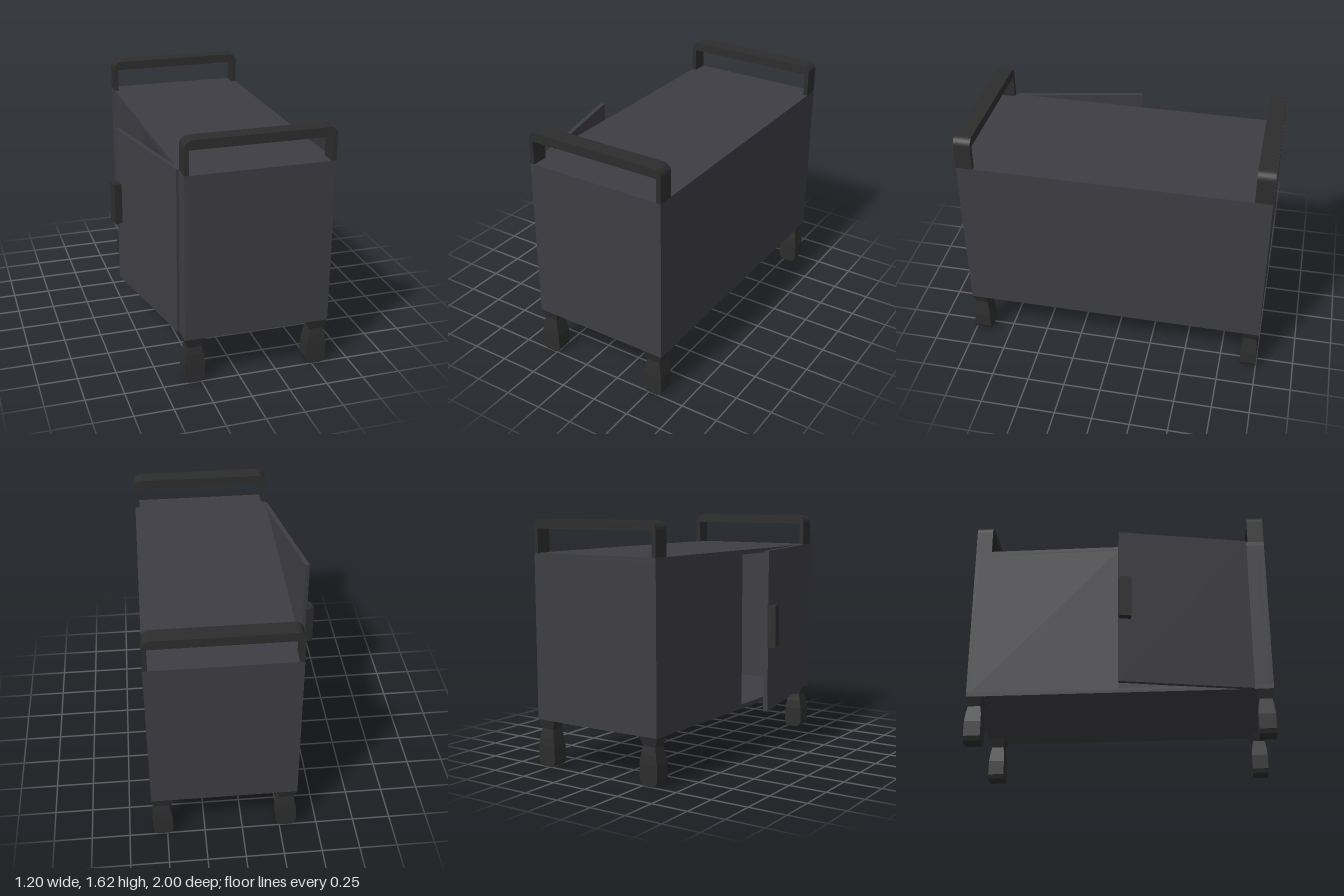
import * as THREE from 'three';

const bodyMat = new THREE.MeshStandardMaterial({ color: 0x3d3d43 });
const trimMat = new THREE.MeshStandardMaterial({ color: 0x2d2d2d, flatShading: true });

// Body limits
const X0 = -0.36, X1 = 0.595, Y0 = 0.31, Y1 = 1.4, T = 0.03;

// Box given by its minimum and maximum corners
function slab(name, [ax, ay, az], [bx, by, bz], mat = bodyMat) {
  const geo = new THREE.BoxGeometry(bx - ax, by - ay, bz - az);
  geo.translate((ax + bx) / 2, (ay + by) / 2, (az + bz) / 2);
  const mesh = new THREE.Mesh(geo, mat);
  mesh.name = name;
  return mesh;
}

// Foot with a pinched neck: rows of [height, half width, half depth] from top to bottom
const footRows = [
  [0.31, 0.068, 0.055], [0.25, 0.046, 0.041], [0.2, 0.055, 0.05], [0.14, 0.066, 0.055],
  [0.04, 0.067, 0.055], [0.012, 0.055, 0.055], [0, 0.035, 0.055],
];
function footGeometry() {
  const n = footRows.length - 1;
  const geo = new THREE.BoxGeometry(2, 1, 2, 1, n, 1);
  const p = geo.attributes.position;
  for (let i = 0; i < p.count; i++) {
    const [y, hx, hz] = footRows[Math.round((0.5 - p.getY(i)) * n)];
    p.setXYZ(i, p.getX(i) * hx, y, p.getZ(i) * hz);
  }
  geo.computeVertexNormals();
  return geo;
}

// Carrying handle: an arch with rounded outer corners and a square inside
function handleGeometry() {
  const top = 1.615, r = 0.055, s = new THREE.Shape();
  s.moveTo(X0, Y1);
  s.lineTo(X0, top - r);
  s.absarc(X0 + r, top - r, r, Math.PI, Math.PI / 2, true);
  s.lineTo(X1 - r, top);
  s.absarc(X1 - r, top - r, r, Math.PI / 2, 0, true);
  s.lineTo(X1, Y1);
  s.lineTo(X1 - T, Y1);
  s.lineTo(X1 - T, 1.555);
  s.lineTo(X0 + T, 1.555);
  s.lineTo(X0 + T, Y1);
  s.closePath();
  const geo = new THREE.ExtrudeGeometry(s, { depth: 0.11, bevelEnabled: false, curveSegments: 5 });
  geo.translate(0, 0, -0.055);
  return geo;
}

export function createModel() {
  const model = new THREE.Group();

  // Hollow cabinet, open on one side between the fixed panel and the post
  const cabinet = new THREE.Group();
  cabinet.name = 'cabinet';
  cabinet.add(
    slab('floor', [X0, Y0, -1], [X1, Y0 + T, 1]),
    slab('top', [X0, Y1 - T, -1], [X1, Y1, 1]),
    slab('leftWall', [X1 - T, Y0 + T, -1], [X1, Y1 - T, 1]),
    slab('frontWall', [X0, Y0 + T, 1 - T], [X1 - T, Y1 - T, 1]),
    slab('backWall', [X0, Y0 + T, -1], [X1 - T, Y1 - T, -1 + T]),
    slab('fixedSidePanel', [X0, Y0 + T, -1 + T], [X0 + T, Y1 - T, 0]),
    slab('hingePost', [X0, Y0 + T, 0.88], [X0 + T, Y1 - T, 1 - T]),
  );
  model.add(cabinet);

  // Door standing ajar, with its pull
  const door = new THREE.Group();
  door.name = 'door';
  door.position.set(X0, 0, 0.875);
  door.rotation.y = 0.205;
  door.add(
    slab('doorPanel', [-0.015, Y0, -0.88], [0.015, Y1, 0]),
    slab('doorPull', [-0.066, 0.75, -0.88], [-0.01, 1.035, -0.802], trimMat),
  );
  model.add(door);

  // Handle and two feet at each end
  const footGeo = footGeometry(), handleGeo = handleGeometry();
  for (const z of [0.945, -0.945]) {
    const handle = new THREE.Mesh(handleGeo, trimMat);
    handle.name = z > 0 ? 'frontHandle' : 'backHandle';
    handle.position.z = z;
    model.add(handle);
    for (const x of [X0 + 0.066, X1 - 0.068]) {
      const foot = new THREE.Mesh(footGeo, trimMat);
      foot.name = (z > 0 ? 'front' : 'back') + (x > 0 ? 'Left' : 'Right') + 'Foot';
      foot.position.set(x, 0, z);
      model.add(foot);
    }
  }
  return model;
}
